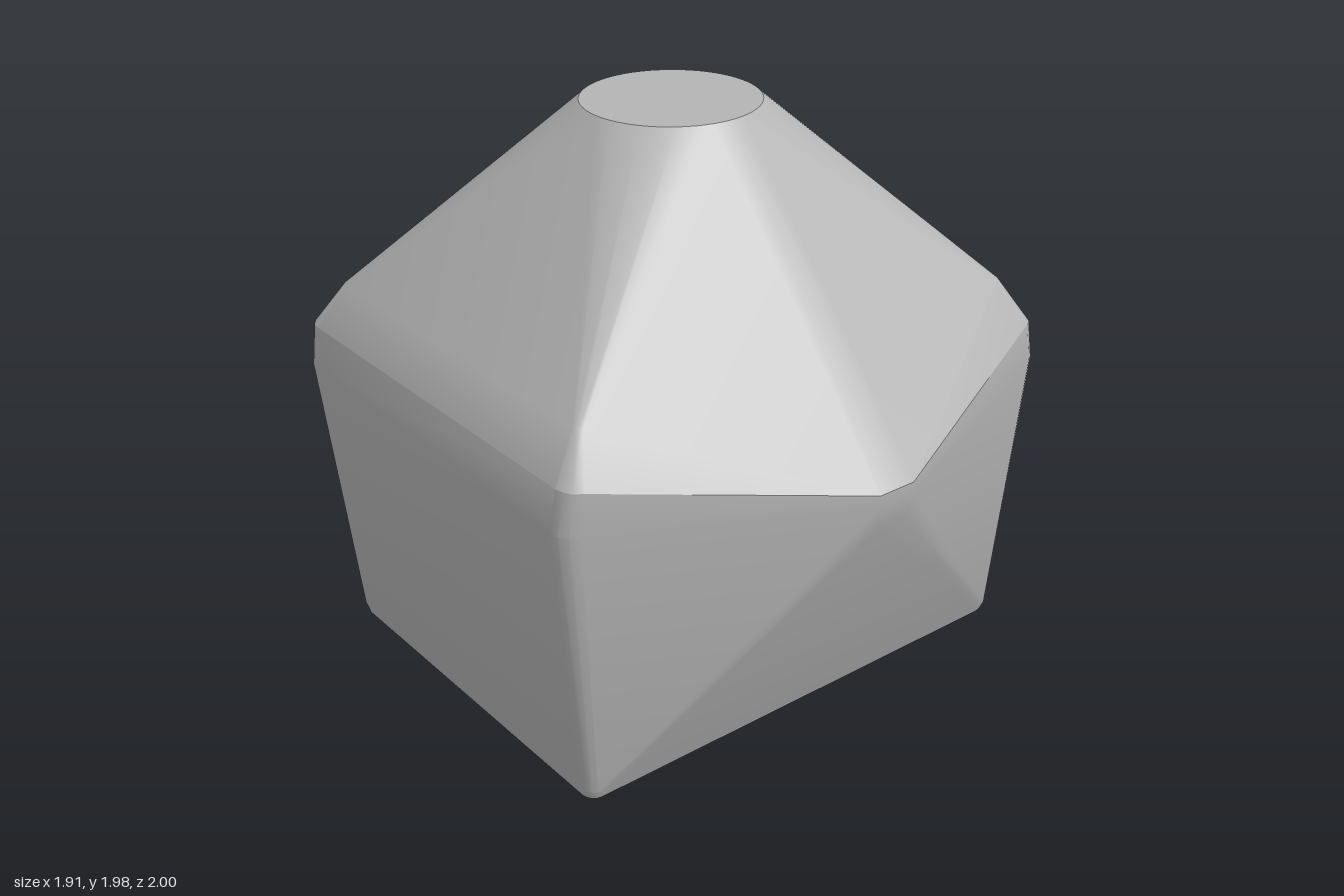
import * as THREE from 'three';
import { ConvexGeometry } from 'three/addons/geometries/ConvexGeometry.js';
import { toCreasedNormals } from 'three/addons/utils/BufferGeometryUtils.js';

// Rounded rectangle of points at one height
function roundedLoop(y, xMin, xMax, zMax, r) {
  const points = [];
  const steps = 4;
  for (const sx of [-1, 1]) {
    for (const sz of [-1, 1]) {
      for (let i = 0; i <= steps; i++) {
        const a = (i / steps) * Math.PI / 2;
        const x = (sx < 0 ? xMin + r : xMax - r) + sx * r * Math.cos(a);
        points.push(new THREE.Vector3(x, y, sz * (zMax - r + r * Math.sin(a))));
      }
    }
  }
  return points;
}

export function createModel() {
  const grey = new THREE.MeshStandardMaterial({ color: 0xb4b4b4 });
  grey.name = 'grey';
  const points = [];

  // Tapered base and rounded shoulders: y, xMin, xMax, zMax, corner radius
  const levels = [
    [0, -0.85, 0.53, 0.87, 0.03],
    [0.015, -0.875, 0.555, 0.895, 0.045],
    [0.05, -0.885, 0.57, 0.905, 0.05],
    [1.04, -0.948, 0.63, 1, 0.09],
    [1.18, -0.953, 0.625, 0.975, 0.08],
    [1.33, -0.85, 0.53, 0.88, 0.03],
  ];
  for (const level of levels) points.push(...roundedLoop(...level));

  // Blunt nose on one side and raised peak on the other
  for (const s of [-1, 1]) {
    points.push(new THREE.Vector3(0.953, 1.015, s * 0.07));
    points.push(new THREE.Vector3(0.95, 0.97, s * 0.07));
    points.push(new THREE.Vector3(0.935, 0.89, s * 0.06));
    points.push(new THREE.Vector3(-0.953, 1.38, s * 0.01));
  }

  // Flat round top
  const sides = 64;
  for (let i = 0; i < sides; i++) {
    const a = (i / sides) * Math.PI * 2;
    points.push(new THREE.Vector3(-0.16 + 0.3 * Math.cos(a), 1.975, 0.3 * Math.sin(a)));
  }

  const body = new THREE.Mesh(toCreasedNormals(new ConvexGeometry(points), 0.4), grey);
  body.name = 'body';
  const group = new THREE.Group();
  group.name = 'taperedBlock';
  group.add(body);
  return group;
}
